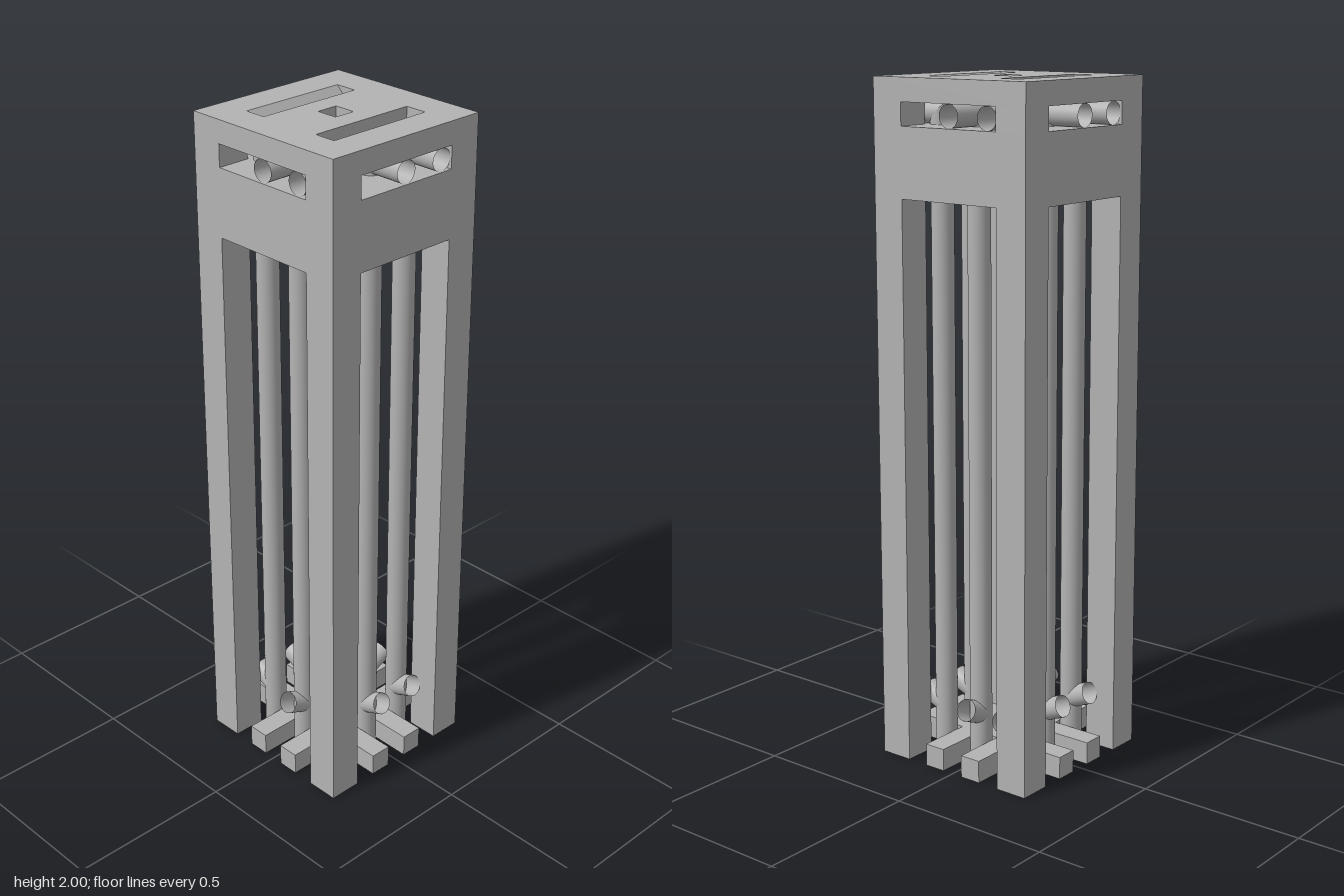
import * as THREE from 'three';

const H = 0.267;   // half width of the tower
const S = 0.167;   // half width of the openings
const P = 0.133;   // tube spacing
const R = 0.033;   // tube radius
const ARCH = 1.667, FLOOR = 1.867, CEIL = 1.933, TOP = 2;
const ELBOW = (FLOOR + CEIL) / 2;

const frameGrey = new THREE.MeshStandardMaterial({ color: 0xb3b3b3, side: THREE.DoubleSide });
frameGrey.name = 'frame grey';

function add(parent, name, geometry, x = 0, y = 0, z = 0) {
  const mesh = new THREE.Mesh(geometry, frameGrey);
  mesh.name = name;
  mesh.position.set(x, y, z);
  parent.add(mesh);
  return mesh;
}

function rect(Type, x0, x1, z0, z1) {
  return new Type([[x0, z0], [x1, z0], [x1, z1], [x0, z1]].map(p => new THREE.Vector2(...p)));
}

// Square slab from y0 to y1 with rectangular holes
function slab(y0, y1, holes) {
  const shape = rect(THREE.Shape, -H, H, -H, H);
  shape.holes = holes.map(h => rect(THREE.Path, ...h));
  return new THREE.ExtrudeGeometry(shape, { depth: y1 - y0, bevelEnabled: false })
    .rotateX(-Math.PI / 2).translate(0, y0, 0);
}

function openTube(length) {
  return new THREE.CylinderGeometry(R, R, length, 32, 1, true).translate(0, length / 2, 0);
}

// Upright tube with a mitred elbow towards +z and a short spout near its foot
function makeTube() {
  const tube = new THREE.Group();
  tube.name = 'tube';

  const upright = openTube(ELBOW);
  let p = upright.attributes.position;
  for (let i = 0; i < p.count; i++) {
    if (p.getY(i) > 1) p.setY(i, ELBOW - p.getZ(i));
  }
  add(tube, 'upright', upright);

  const outlet = openTube(H - P - 0.004).rotateX(Math.PI / 2);
  p = outlet.attributes.position;
  for (let i = 0; i < p.count; i++) {
    if (p.getZ(i) < 0.05) p.setZ(i, -p.getY(i));
  }
  add(tube, 'outlet', outlet, 0, ELBOW, 0);

  const spout = openTube(0.075).rotateX(Math.PI / 2 - 0.38);
  add(tube, 'spout', spout, 0, 0.15, 0);
  return tube;
}

export function createModel() {
  const model = new THREE.Group();
  model.name = 'tower';

  // Corner legs and the short posts beside the upper windows
  const w = H - S, c = (H + S) / 2;
  for (const x of [-c, c]) {
    for (const z of [-c, c]) {
      add(model, 'leg', new THREE.BoxGeometry(w, ARCH, w), x, ARCH / 2, z);
      add(model, 'windowPost', new THREE.BoxGeometry(w, CEIL - FLOOR, w), x, ELBOW, z);
    }
  }

  // Head block and top plate
  const shaft = [-R, R, -R, R];
  add(model, 'headBlock', slab(ARCH, FLOOR, [shaft]));
  add(model, 'topPlate', slab(CEIL, TOP, [shaft, [-S, -0.1, -S, S], [0.1, S, -S, S]]));

  // Ramps sloping inward inside the two top slots
  for (const s of [-1, 1]) {
    const ramp = new THREE.Shape([[0.1, CEIL], [S, CEIL], [S, TOP]].map(([x, y]) => new THREE.Vector2(s * x, y)));
    add(model, 'slotRamp', new THREE.ExtrudeGeometry(ramp, { depth: 2 * S, bevelEnabled: false }), 0, 0, -S);
  }

  // Crossed floor bars
  for (const o of [-0.067, 0.067]) {
    add(model, 'floorBar', new THREE.BoxGeometry(2 * R, 0.067, 2 * H), o, 0.0335, 0);
    add(model, 'floorBar', new THREE.BoxGeometry(2 * H, 0.067, 2 * R), 0, 0.0335, o);
  }

  // Two tubes per side, turned around the centre like a pinwheel
  for (let k = 0; k < 4; k++) {
    const side = new THREE.Group();
    side.name = 'tubePair';
    side.rotation.y = k * Math.PI / 2;
    for (const x of [0, P]) {
      const tube = makeTube();
      tube.position.set(x, 0, P);
      side.add(tube);
    }
    model.add(side);
  }
  return model;
}
